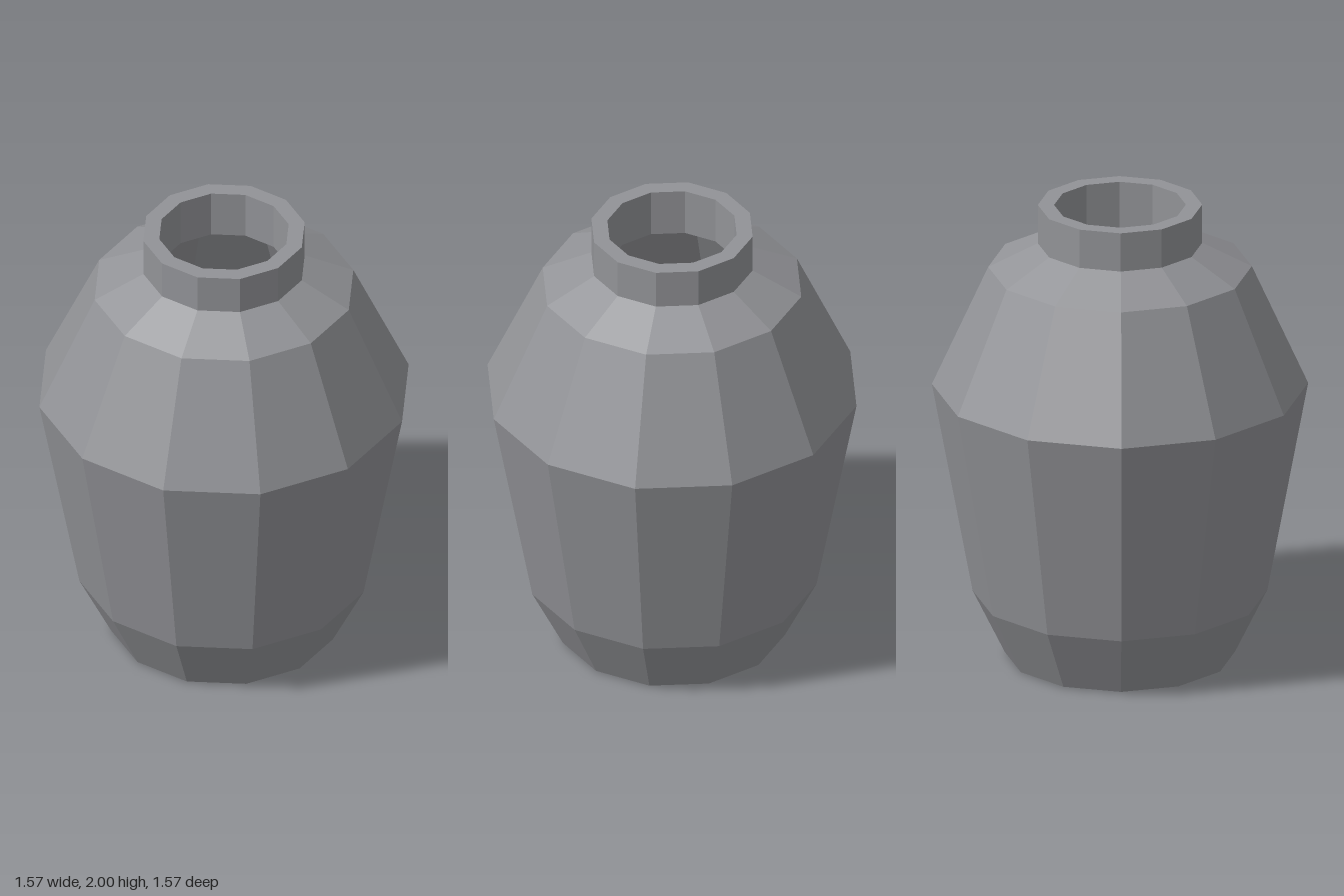
import * as THREE from 'three';

const SIDES = 12;

export function createModel() {
  const model = new THREE.Group();
  model.name = 'jar';
  const clay = new THREE.MeshStandardMaterial({ color: 0x929397, flatShading: true });
  clay.name = 'grey clay';

  // Faceted ring of surface from [radius, height] pairs; corners lie on the x and z axes
  function turned(name, profile) {
    const points = profile.map(([r, y]) => new THREE.Vector2(r, y));
    const mesh = new THREE.Mesh(new THREE.LatheGeometry(points, SIDES), clay);
    mesh.name = name;
    model.add(mesh);
  }

  // Outside, from the underside up to the rim
  turned('base', [[0, 0.005], [0.48, 0.01]]);
  turned('body', [[0.48, 0.01], [0.615, 0.285], [0.785, 1.205], [0.55, 1.725]]);
  turned('shoulder', [[0.55, 1.725], [0.343, 1.83]]);
  turned('neck', [[0.343, 1.83], [0.343, 2]]);
  turned('rim', [[0.343, 2], [0.275, 2]]);

  // Hollow inside, from the rim down to the floor
  turned('neckInside', [[0.275, 2], [0.275, 1.79]]);
  turned('bodyInside', [[0.275, 1.79], [0.5, 1.68], [0.715, 1.2], [0.55, 0.31], [0.44, 0.08]]);
  turned('floor', [[0.44, 0.08], [0, 0.075]]);

  return model;
}
